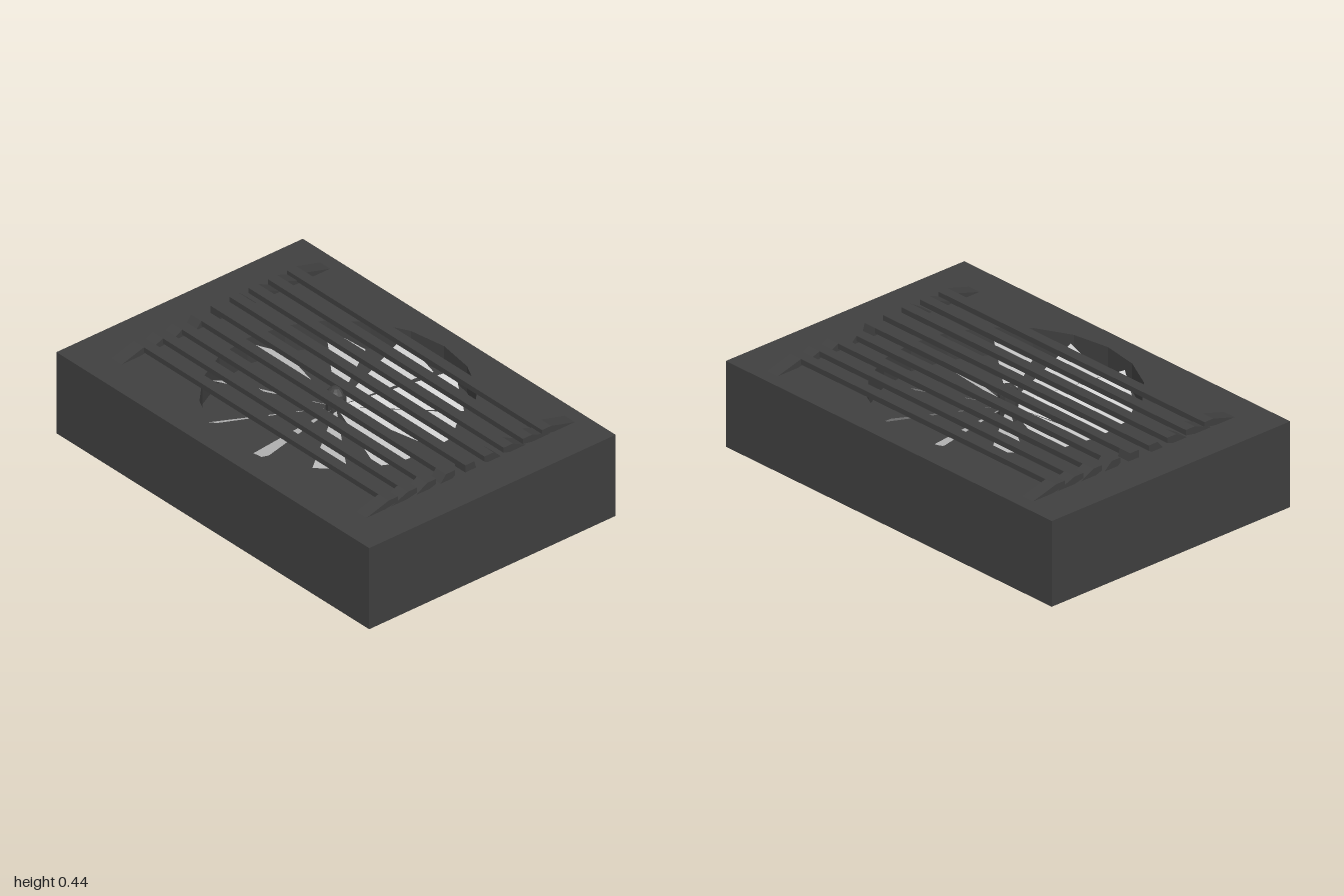
import * as THREE from 'three';

const dark = new THREE.MeshStandardMaterial({ color: 0x404040, flatShading: true });
const light = new THREE.MeshStandardMaterial({ color: 0xcccccc, flatShading: true, side: THREE.DoubleSide });

const TOP = 0.4, FLOOR = 0.27, W = 0.675, L = 1;

function add(parent, name, geometry, material, x = 0, y = 0, z = 0) {
  const mesh = new THREE.Mesh(geometry, material);
  mesh.name = name;
  mesh.position.set(x, y, z);
  parent.add(mesh);
  return mesh;
}

// Closed polygon from [x, y] pairs
const polygon = (pts) => new THREE.Shape(pts.map(([x, y]) => new THREE.Vector2(x, y)));

export function createModel() {
  const model = new THREE.Group();
  model.name = 'ventilationUnit';

  // Housing: solid base with an upper frame around the round fan well
  add(model, 'housingBase', new THREE.BoxGeometry(W * 2, FLOOR, L * 2), dark, 0, FLOOR / 2, 0);
  const frame = polygon([[-W, -L], [W, -L], [W, L], [-W, L]]);
  const well = [];
  for (let i = 0; i < 20; i++) {
    const a = -i * Math.PI / 10;
    well.push(new THREE.Vector2(0.58 * Math.cos(a), 0.58 * Math.sin(a) - 0.015));
  }
  frame.holes.push(new THREE.Path(well));
  const frameGeo = new THREE.ExtrudeGeometry(frame, { depth: TOP - FLOOR, bevelEnabled: false });
  frameGeo.rotateX(-Math.PI / 2);
  add(model, 'housingFrame', frameGeo, dark, 0, FLOOR, 0);

  // Fan: ten pitched triangular blades around a hub
  const fan = new THREE.Group();
  fan.name = 'fan';
  model.add(fan);
  const step = Math.PI / 10, R = 0.535;
  for (let i = 0; i < 10; i++) {
    const geo = new THREE.BufferGeometry();
    geo.setAttribute('position', new THREE.Float32BufferAttribute([
      0, 0, 0,
      R, -0.05, 0,
      R * Math.cos(step), 0.05, -R * Math.sin(step),
    ], 3));
    geo.computeVertexNormals();
    add(fan, 'fanBlade', geo, light, 0, 0.335, 0).rotation.y = i * 2 * step;
  }
  add(fan, 'hubShaft', new THREE.CylinderGeometry(0.045, 0.045, TOP - FLOOR - 0.01, 12), dark, 0, (TOP + FLOOR) / 2, 0);
  add(fan, 'hubCap', new THREE.SphereGeometry(0.045, 12, 8), dark, 0, 0.389, 0);

  // Grille: nine bars, each with feet splaying outwards more towards the sides
  const grille = new THREE.Group();
  grille.name = 'grille';
  model.add(grille);
  const barW = 0.05, barTop = 0.435, barBottom = 0.41;
  for (let i = 0; i < 9; i++) {
    const x0 = -0.41 + i * 0.105, x1 = x0 + barW;
    add(grille, 'grilleBar', new THREE.BoxGeometry(barW, barTop - barBottom, 1.63), dark,
      x0 + barW / 2, (barTop + barBottom) / 2, 0);
    const s = (i - 4) * 0.032;
    const inner = s * 0.65;
    const foot = s < 0
      ? polygon([[x0 + s, TOP - 0.002], [x1 + inner, TOP - 0.002], [x1, barBottom], [x1, barTop], [x0, barTop]])
      : polygon([[x0 + inner, TOP - 0.002], [x1 + s + 0.01, TOP - 0.002], [x1, barTop], [x0, barTop], [x0, barBottom]]);
    for (const z of [-0.815, 0.75]) {
      add(grille, 'grilleFoot', new THREE.ExtrudeGeometry(foot, { depth: 0.065, bevelEnabled: false }), dark, 0, 0, z);
    }
  }
  return model;
}
